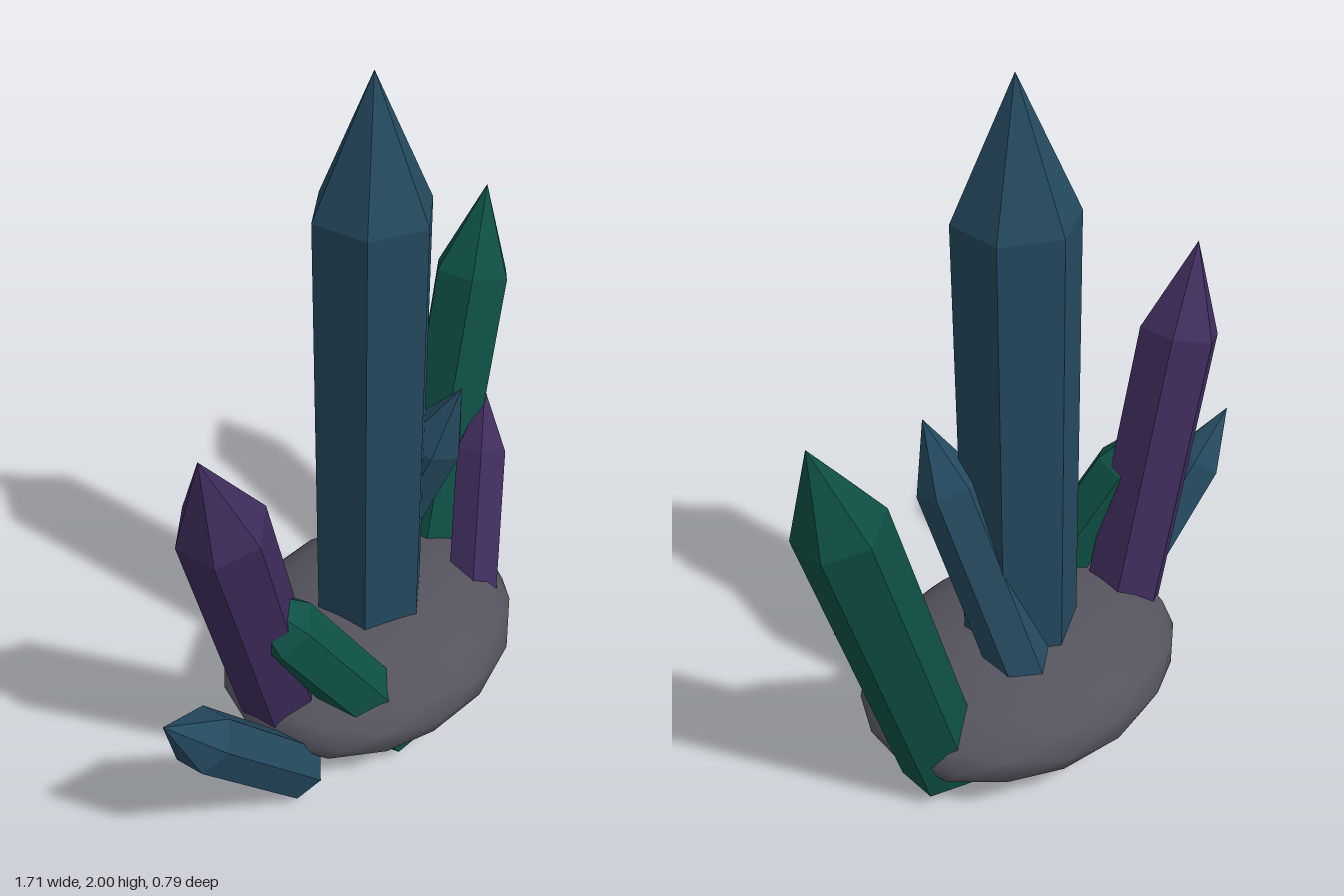
import * as THREE from 'three';
import { mergeGeometries, mergeVertices } from 'three/addons/utils/BufferGeometryUtils.js';

const material = (name, color, flatShading) => {
  const m = new THREE.MeshStandardMaterial({ color, flatShading });
  m.name = name;
  return m;
};

// Six-sided prism with a pointed cap, running from base to tip
function crystal(name, base, tip, radius, mat) {
  const from = new THREE.Vector3(...base);
  const axis = new THREE.Vector3(...tip).sub(from);
  const length = axis.length();
  const capHeight = radius * 2.2;
  const bodyHeight = length - capHeight;
  const body = new THREE.CylinderGeometry(radius, radius, bodyHeight, 6);
  body.translate(0, bodyHeight / 2, 0);
  const cap = new THREE.ConeGeometry(radius, capHeight, 6, 1, true);
  cap.translate(0, bodyHeight + capHeight / 2, 0);
  const mesh = new THREE.Mesh(mergeGeometries([body, cap]), mat);
  mesh.name = name;
  mesh.position.copy(from);
  mesh.quaternion.setFromUnitVectors(new THREE.Vector3(0, 1, 0), axis.normalize());
  return mesh;
}

// Smooth, flattened boulder
function rock(mat) {
  let g = new THREE.IcosahedronGeometry(1, 2);
  g.deleteAttribute('uv');
  g.deleteAttribute('normal');
  g = mergeVertices(g, 1e-3);
  g.scale(0.515, 0.183, 0.405);
  g.computeVertexNormals();
  const mesh = new THREE.Mesh(g, mat);
  mesh.name = 'rockBase';
  mesh.position.set(0.085, 0.183, 0);
  return mesh;
}

export function createModel() {
  const stone = material('stone grey', 0x55545e, false);
  const blue = material('deep blue', 0x24495e, true);
  const purple = material('deep purple', 0x3f2c5c, true);
  const green = material('deep green', 0x0e5045, true);

  const group = new THREE.Group();
  group.name = 'crystalCluster';
  group.add(
    rock(stone),
    crystal('mainCrystal', [0.085, 0.1, 0], [0.085, 2, 0], 0.167, blue),
    crystal('tallRightCrystal', [-0.258, 0.075, -0.05], [-0.635, 1.305, 0.012], 0.122, purple),
    crystal('tallLeftCrystal', [0.452, 0.08, -0.06], [0.825, 1.36, -0.1], 0.12, green),
    crystal('smallLeftCrystal', [0.3, 0.07, 0.23], [0.678, 0.755, 0.018], 0.085, purple),
    crystal('smallRightCrystal', [-0.085, 0.073, 0.225], [-0.495, 0.79, -0.01], 0.097, green),
    crystal('lowRightCrystal', [-0.395, 0.068, 0.08], [-0.855, 0.625, 0.03], 0.088, blue),
    crystal('leaningCrystal', [0.165, 0.06, -0.205], [0.275, 1.05, 0.17], 0.092, blue),
  );
  return group;
}
